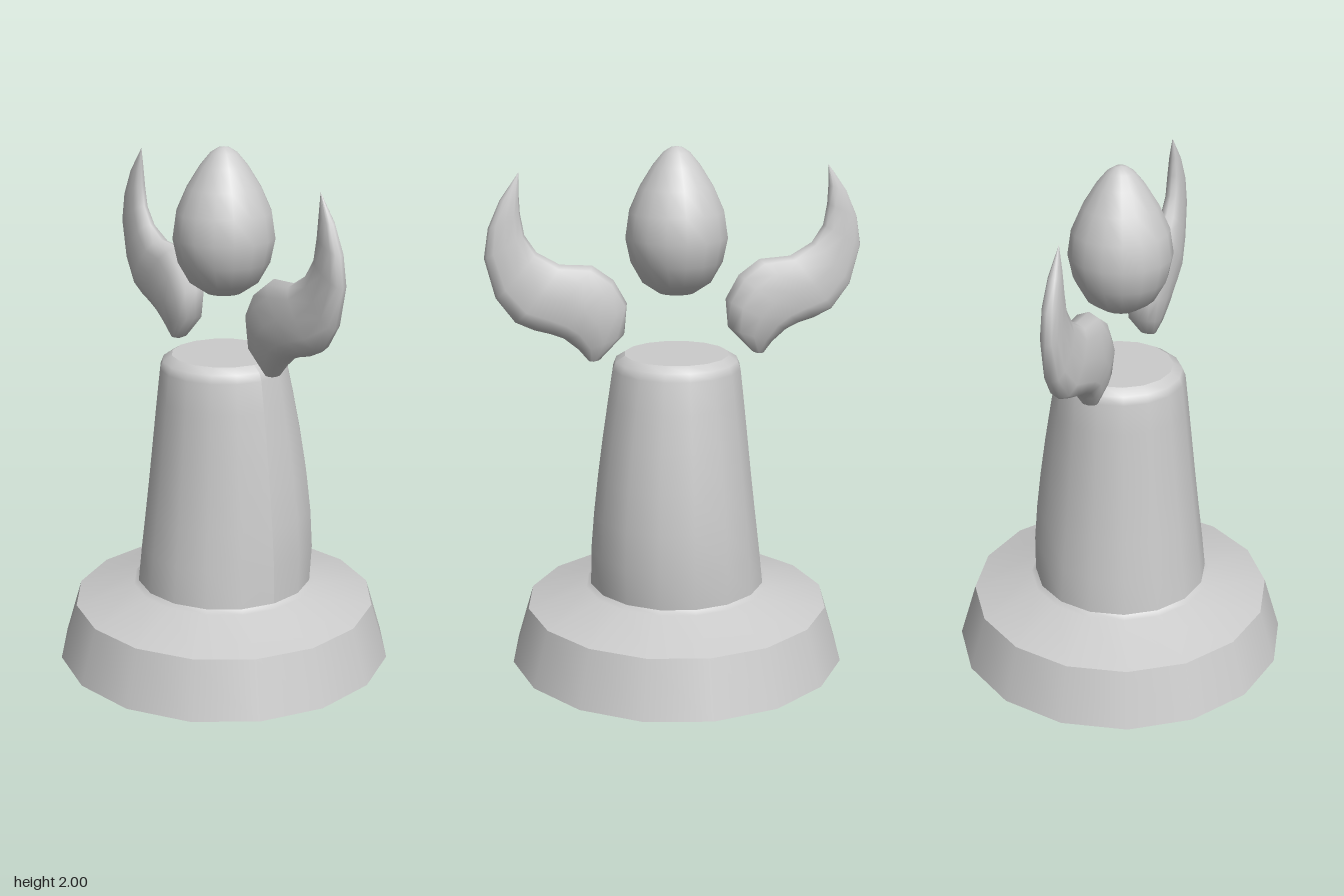
import * as THREE from 'three';

const SIDES = 16;
const solid = new THREE.MeshStandardMaterial({ color: 0xcccccc });
const shell = new THREE.MeshStandardMaterial({ color: 0xcccccc, side: THREE.DoubleSide });

// Turned part from [radius, height] pairs, listed bottom to top
function turned(name, profile, material = shell) {
  const points = profile.map(([r, y]) => new THREE.Vector2(r, y));
  const mesh = new THREE.Mesh(new THREE.LatheGeometry(points, SIDES), material);
  mesh.name = name;
  return mesh;
}

// Let one side of the column swell gently between its foot and its top
function swell(geometry, y0, y1, amount, angle) {
  const p = geometry.attributes.position;
  for (let i = 0; i < p.count; i++) {
    const x = p.getX(i), z = p.getZ(i), r = Math.hypot(x, z);
    const t = THREE.MathUtils.clamp((p.getY(i) - y0) / (y1 - y0), 0, 1);
    const facing = Math.max(0, Math.cos(Math.atan2(z, x) - angle));
    const k = 1 + (amount * Math.sin(Math.PI * Math.pow(t, 0.8)) * facing) / r;
    p.setX(i, x * k);
    p.setZ(i, z * k);
  }
  geometry.computeVertexNormals();
}

// Horn sections: outer edge z, y; inner edge z, y; half thickness
const HORN = [
  [0.32, 1.2, 0.32, 1.2, 0],
  [0.34, 1.207, 0.295, 1.212, 0.03],
  [0.375, 1.25, 0.2, 1.31, 0.06],
  [0.43, 1.295, 0.19, 1.42, 0.075],
  [0.48, 1.315, 0.24, 1.51, 0.075],
  [0.54, 1.332, 0.32, 1.568, 0.07],
  [0.61, 1.365, 0.44, 1.576, 0.06],
  [0.68, 1.46, 0.525, 1.625, 0.045],
  [0.718, 1.61, 0.568, 1.69, 0.035],
  [0.7, 1.72, 0.582, 1.77, 0.03],
  [0.655, 1.82, 0.585, 1.84, 0.02],
  [0.583, 1.92, 0.583, 1.92, 0],
];

function hornGeometry() {
  const n = 12, position = [], index = [];
  const soften = (v) => Math.sign(v) * Math.pow(Math.abs(v), 0.8);
  HORN.forEach(([oz, oy, iz, iy, w], i) => {
    for (let j = 0; j < n; j++) {
      const a = (j / n) * Math.PI * 2;
      const c = soften(Math.cos(a)) / 2, s = soften(Math.sin(a));
      position.push(w * s, (oy + iy) / 2 + (oy - iy) * c, (oz + iz) / 2 + (oz - iz) * c);
      if (i === HORN.length - 1) continue;
      const A = i * n + j, B = i * n + ((j + 1) % n);
      index.push(A, B, B + n, A, B + n, A + n);
    }
  });
  const g = new THREE.BufferGeometry();
  g.setAttribute('position', new THREE.Float32BufferAttribute(position, 3));
  g.setIndex(index);
  g.computeVertexNormals();
  return g;
}

export function createModel() {
  const model = new THREE.Group();
  model.name = 'hornedPiece';

  // Hollow base, open underneath
  model.add(turned('baseSkirt', [[0.655, 0], [0.59, 0.22]]));
  model.add(turned('baseShoulder', [[0.59, 0.22], [0.36, 0.29], [0.342, 0.305]]));

  // Tapered column with a rounded rim
  const column = turned('column', [
    [0.342, 0.305], [0.327, 0.45], [0.309, 0.6], [0.292, 0.75], [0.276, 0.9],
    [0.26, 1.05], [0.247, 1.165], [0.235, 1.195], [0.2, 1.217],
  ]);
  swell(column.geometry, 0.305, 1.165, 0.035, Math.PI / 6);
  model.add(column);
  model.add(turned('columnTop', [[0.2, 1.217], [0, 1.217]]));

  // Floating egg-shaped head
  model.add(turned('head', [
    [0, 1.445], [0.07, 1.455], [0.13, 1.495], [0.175, 1.575], [0.194, 1.665],
    [0.18, 1.76], [0.14, 1.85], [0.09, 1.93], [0.05, 1.978], [0.022, 1.996], [0, 2],
  ], solid));

  // Two floating horns, front and back
  const horn = hornGeometry();
  ['frontHorn', 'backHorn'].forEach((name, i) => {
    const mesh = new THREE.Mesh(horn, solid);
    mesh.name = name;
    mesh.rotation.y = i * Math.PI;
    model.add(mesh);
  });
  return model;
}
